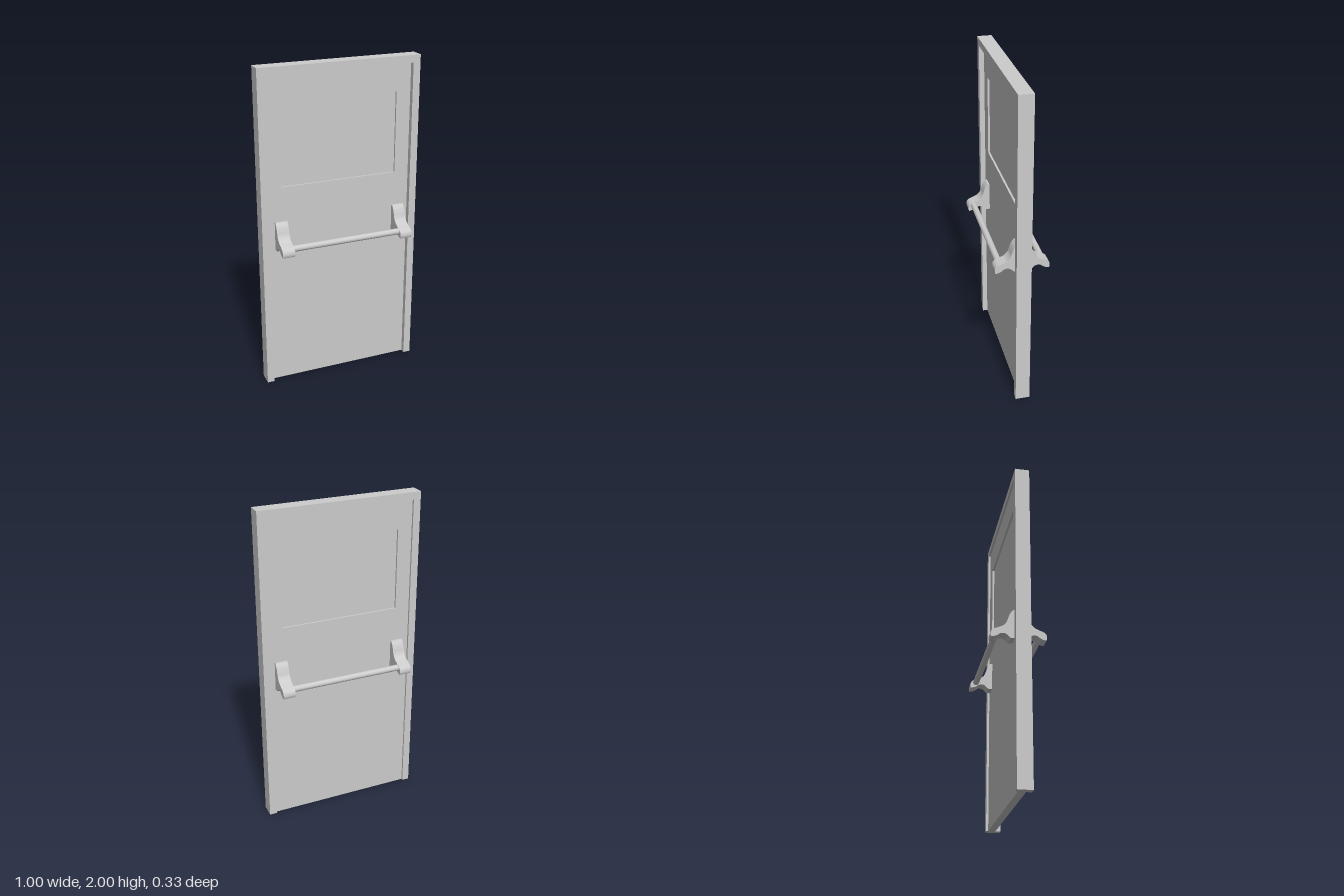
import * as THREE from 'three';
import { toCreasedNormals } from 'three/addons/utils/BufferGeometryUtils.js';

const grey = new THREE.MeshStandardMaterial({ color: 0xcccccc });

function add(parent, name, geometry) {
  const mesh = new THREE.Mesh(geometry, grey);
  mesh.name = name;
  parent.add(mesh);
  return mesh;
}

const polygon = (points) => new THREE.Shape(points.map(([x, y]) => new THREE.Vector2(x, y)));

// Flat extrusion of a front-facing shape between two depths
function slab(shape, zBack, zFront) {
  const geometry = new THREE.ExtrudeGeometry(shape, { depth: zFront - zBack, bevelEnabled: false });
  return geometry.translate(0, 0, zBack);
}

// Curved lever bracket: side profile as (distance from door, height)
function bracketGeometry(width) {
  const vectors = (points) => points.map(([x, y]) => new THREE.Vector2(x, y));
  const shape = new THREE.Shape();
  shape.moveTo(0.02, 0.895);
  shape.lineTo(0.05, 0.895);
  shape.splineThru(vectors([[0.063, 0.91], [0.082, 0.921], [0.105, 0.92], [0.13, 0.903], [0.158, 0.895]]));
  shape.splineThru(vectors([[0.163, 0.908], [0.16, 0.93], [0.146, 0.945], [0.118, 0.957],
    [0.09, 0.971], [0.07, 0.995], [0.06, 1.025], [0.05, 1.05], [0.034, 1.072]]));
  shape.lineTo(0.02, 1.072);
  shape.closePath();
  const geometry = new THREE.ExtrudeGeometry(shape, { depth: width, bevelEnabled: false, curveSegments: 24 });
  geometry.rotateY(-Math.PI / 2).translate(width / 2, 0, 0);
  return toCreasedNormals(geometry, 0.6);
}

// Push bar assembly, facing +z
function pushBar() {
  const group = new THREE.Group();
  const bracket = bracketGeometry(0.075);
  for (const side of [-1, 1]) {
    add(group, side > 0 ? 'leftBracket' : 'rightBracket', bracket).position.x = side * 0.381;
  }
  const bar = new THREE.CylinderGeometry(0.019, 0.019, 0.69, 32);
  bar.rotateZ(Math.PI / 2).translate(0, 0.933, 0.127);
  add(group, 'bar', bar);
  group.position.x = 0.0065;
  return group;
}

export function createModel() {
  const model = new THREE.Group();
  model.name = 'door';

  // Frame with two jambs and a head, open at the floor
  const frame = polygon([[-0.5, 0], [-0.455, 0], [-0.455, 1.955], [0.455, 1.955],
    [0.455, 0], [0.5, 0], [0.5, 2], [-0.5, 2]]);
  add(model, 'frame', slab(frame, -0.035, 0.053));

  // Door leaf with a window opening
  const leaf = polygon([[-0.455, 0], [0.455, 0], [0.455, 1.955], [-0.455, 1.955]]);
  leaf.holes.push(polygon([[-0.365, 1.285], [-0.365, 1.785], [0.365, 1.785], [0.365, 1.285]]));
  add(model, 'doorLeaf', slab(leaf, -0.022, 0.022));

  // Window pane set back from both faces
  add(model, 'windowPane', new THREE.BoxGeometry(0.73, 0.5, 0.02)).position.y = 1.535;

  // One push bar on each face
  const front = pushBar();
  front.name = 'frontPushBar';
  const back = pushBar();
  back.name = 'backPushBar';
  back.rotation.y = Math.PI;
  model.add(front, back);

  return model;
}
